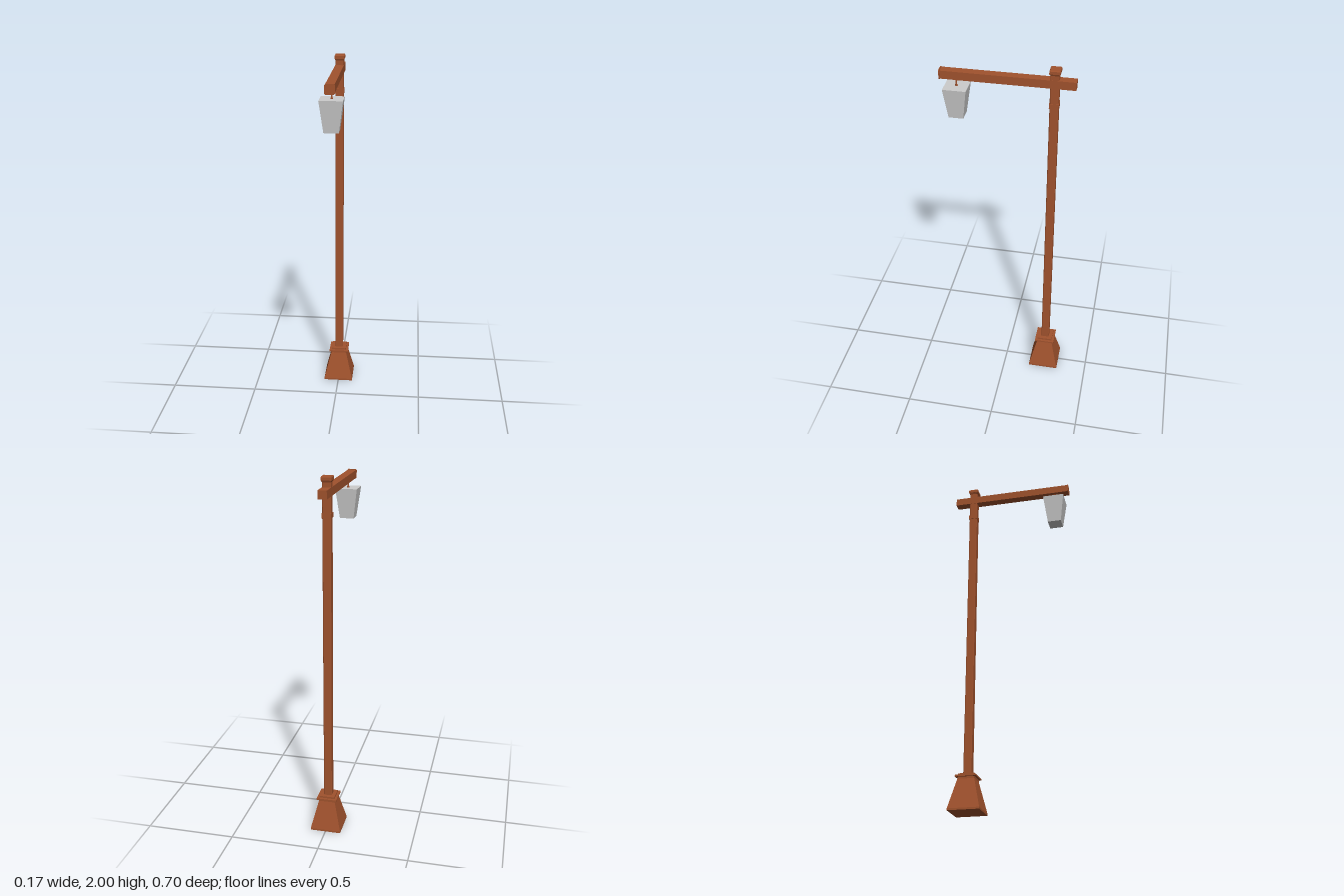
import * as THREE from 'three';

const wood = new THREE.MeshStandardMaterial({ color: 0xa0522d, flatShading: true });
const grey = new THREE.MeshStandardMaterial({ color: 0xcccccc, flatShading: true });
const POST_Z = -0.241;
const LAMP_X = 0.003, LAMP_Z = 0.261;

// Square block from y0 to y1, tapering from half-width h0 to h1
function block(name, y0, y1, h0, h1 = h0, material = wood) {
  const geometry = new THREE.CylinderGeometry(h1 * Math.SQRT2, h0 * Math.SQRT2, y1 - y0, 4);
  geometry.rotateY(Math.PI / 4);
  const mesh = new THREE.Mesh(geometry, material);
  mesh.name = name;
  mesh.position.y = (y0 + y1) / 2;
  return mesh;
}

// Square bar with cut corners, extruded along +z from the origin
function chamferedBar(name, h, c, length) {
  const k = h - c;
  const shape = new THREE.Shape(
    [[h, -k], [h, k], [k, h], [-k, h], [-h, k], [-h, -k], [-k, -h], [k, -h]]
      .map(([x, y]) => new THREE.Vector2(x, y)));
  const mesh = new THREE.Mesh(
    new THREE.ExtrudeGeometry(shape, { depth: length, bevelEnabled: false }), wood);
  mesh.name = name;
  return mesh;
}

export function createModel() {
  const model = new THREE.Group();
  model.name = 'streetLamp';

  // Post with its flared foot, collars and cap
  const post = new THREE.Group();
  post.name = 'post';
  post.position.z = POST_Z;
  const shaft = chamferedBar('shaft', 0.0225, 0.004, 1.79);
  shaft.rotation.x = -Math.PI / 2;
  shaft.position.y = 0.19;
  post.add(
    shaft,
    block('footPlinth', 0, 0.01, 0.086),
    block('foot', 0.01, 0.172, 0.086, 0.046),
    block('footNeck', 0.172, 0.183, 0.046),
    block('footCollar', 0.183, 0.192, 0.057),
    block('footStep', 0.192, 0.202, 0.043),
    block('upperBand', 1.79, 1.816, 0.025),
    block('capFlare', 1.97, 1.98, 0.0225, 0.027),
    block('cap', 1.98, 1.995, 0.028),
    block('capTop', 1.995, 2.0, 0.028, 0.025),
  );
  model.add(post);

  // Horizontal arm with a rim at its front end
  const arm = new THREE.Mesh(new THREE.BoxGeometry(0.047, 0.044, 0.693), wood);
  arm.name = 'arm';
  arm.position.set(0, 1.923, -0.0025);
  const rim = chamferedBar('armRim', 0.0265, 0.006, 0.005);
  rim.position.set(0, 1.923, 0.342);
  model.add(arm, rim);

  // Hanging lantern
  const lantern = new THREE.Group();
  lantern.name = 'lantern';
  lantern.position.set(LAMP_X, 0, LAMP_Z);
  lantern.add(block('shade', 1.694, 1.861, 0.039, 0.061, grey));
  [['hangerRod', 0.004, 1.858, 1.905], ['hangerPlate', 0.009, 1.893, 1.903],
    ['hangerFoot', 0.007, 1.86, 1.866]].forEach(([name, r, y0, y1]) => {
    const part = new THREE.Mesh(new THREE.CylinderGeometry(r, r, y1 - y0, 8), wood);
    part.name = name;
    part.position.y = (y0 + y1) / 2;
    lantern.add(part);
  });
  model.add(lantern);
  return model;
}
